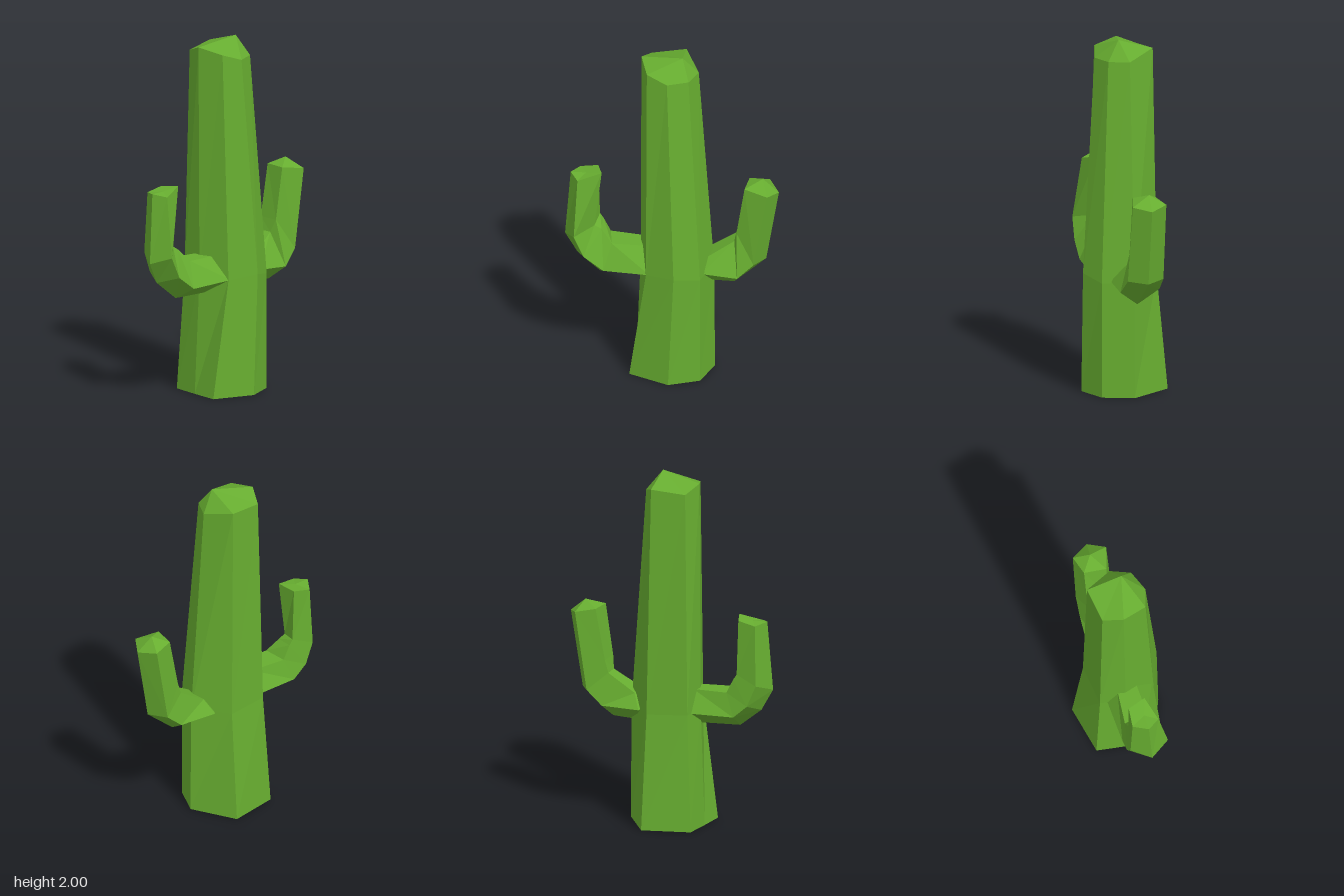
import * as THREE from 'three';

const green = new THREE.MeshStandardMaterial({ color: 0x67ad30 });
green.name = 'cactusGreen';

// Faceted skin through matching rings of [x, y, z], closed to a point at both ends
function loft(name, rings, base, tip, flip = false) {
  const pos = [];
  const tri = (a, b, c) => pos.push(...a, ...(flip ? c : b), ...(flip ? b : c));
  const n = rings[0].length;
  const last = rings[rings.length - 1];
  for (let j = 0; j < n; j++) {
    const k = (j + 1) % n;
    tri(base, rings[0][k], rings[0][j]);
    for (let i = 0; i < rings.length - 1; i++) {
      const lo = rings[i], hi = rings[i + 1];
      tri(lo[j], lo[k], hi[k]);
      tri(lo[j], hi[k], hi[j]);
    }
    tri(last[j], last[k], tip);
  }
  const geo = new THREE.BufferGeometry();
  geo.setAttribute('position', new THREE.Float32BufferAttribute(pos, 3));
  geo.computeVertexNormals(); // unshared corners give flat facets
  const mesh = new THREE.Mesh(geo, green);
  mesh.name = name;
  return mesh;
}

export function createModel() {
  const group = new THREE.Group();
  group.name = 'cactus';

  // Trunk: foot, waist and shoulder rings, counter-clockwise from the front
  group.add(loft('trunk', [
    [[0, 0, 0.235], [0.17, 0, 0.17], [0.235, 0, 0], [0.09, 0, -0.235],
      [-0.18, 0, -0.18], [-0.205, 0, -0.02], [-0.225, 0, 0.14]],
    [[0.03, 0.68, 0.235], [0.17, 0.65, 0.17], [0.23, 0.66, 0], [0.08, 0.65, -0.175],
      [-0.15, 0.66, -0.15], [-0.178, 0.66, -0.01], [-0.13, 0.66, 0.165]],
    [[-0.015, 1.89, 0.155], [0.1, 1.89, 0.11], [0.145, 1.89, 0], [0.06, 1.94, -0.158],
      [-0.13, 1.92, -0.13], [-0.175, 1.96, -0.02], [-0.13, 1.93, 0.12]],
  ], [0, 0, 0], [0.06, 2, 0.04]));

  // Arm rings run: outer ridge, front, inner front, inner back, back
  group.add(loft('leftArm', [
    [[0.2, 0.56, 0.01], [0.17, 0.66, 0.12], [0.19, 0.73, 0.06], [0.19, 0.73, -0.06], [0.15, 0.65, -0.115]],
    [[0.345, 0.565, 0.02], [0.37, 0.645, 0.125], [0.345, 0.83, 0.03], [0.345, 0.83, -0.06], [0.37, 0.65, -0.1]],
    [[0.52, 0.72, 0.01], [0.46, 0.73, 0.11], [0.36, 0.9, 0.06], [0.365, 0.9, -0.06], [0.46, 0.73, -0.095]],
    [[0.59, 1.15, 0.01], [0.535, 1.17, 0.105], [0.405, 1.19, 0.065], [0.42, 1.19, -0.06], [0.53, 1.17, -0.09]],
  ], [0.1, 0.66, 0], [0.5, 1.225, 0], true));

  group.add(loft('rightArm', [
    [[-0.13, 0.575, 0.02], [-0.11, 0.66, 0.165], [-0.15, 0.785, 0.06], [-0.15, 0.785, -0.05], [-0.13, 0.66, -0.11]],
    [[-0.4, 0.585, 0.02], [-0.37, 0.65, 0.13], [-0.33, 0.79, 0.065], [-0.35, 0.79, -0.07], [-0.4, 0.66, -0.1]],
    [[-0.53, 0.69, 0], [-0.48, 0.73, 0.125], [-0.39, 0.86, 0.03], [-0.39, 0.87, -0.07], [-0.48, 0.73, -0.1]],
    [[-0.595, 0.81, 0.01], [-0.535, 0.85, 0.12], [-0.43, 0.88, 0.03], [-0.41, 0.9, -0.07], [-0.53, 0.85, -0.095]],
    [[-0.565, 1.2, 0], [-0.52, 1.185, 0.07], [-0.39, 1.22, 0.03], [-0.42, 1.21, -0.07], [-0.52, 1.19, -0.08]],
  ], [-0.08, 0.66, 0], [-0.48, 1.2, 0]));

  return group;
}
